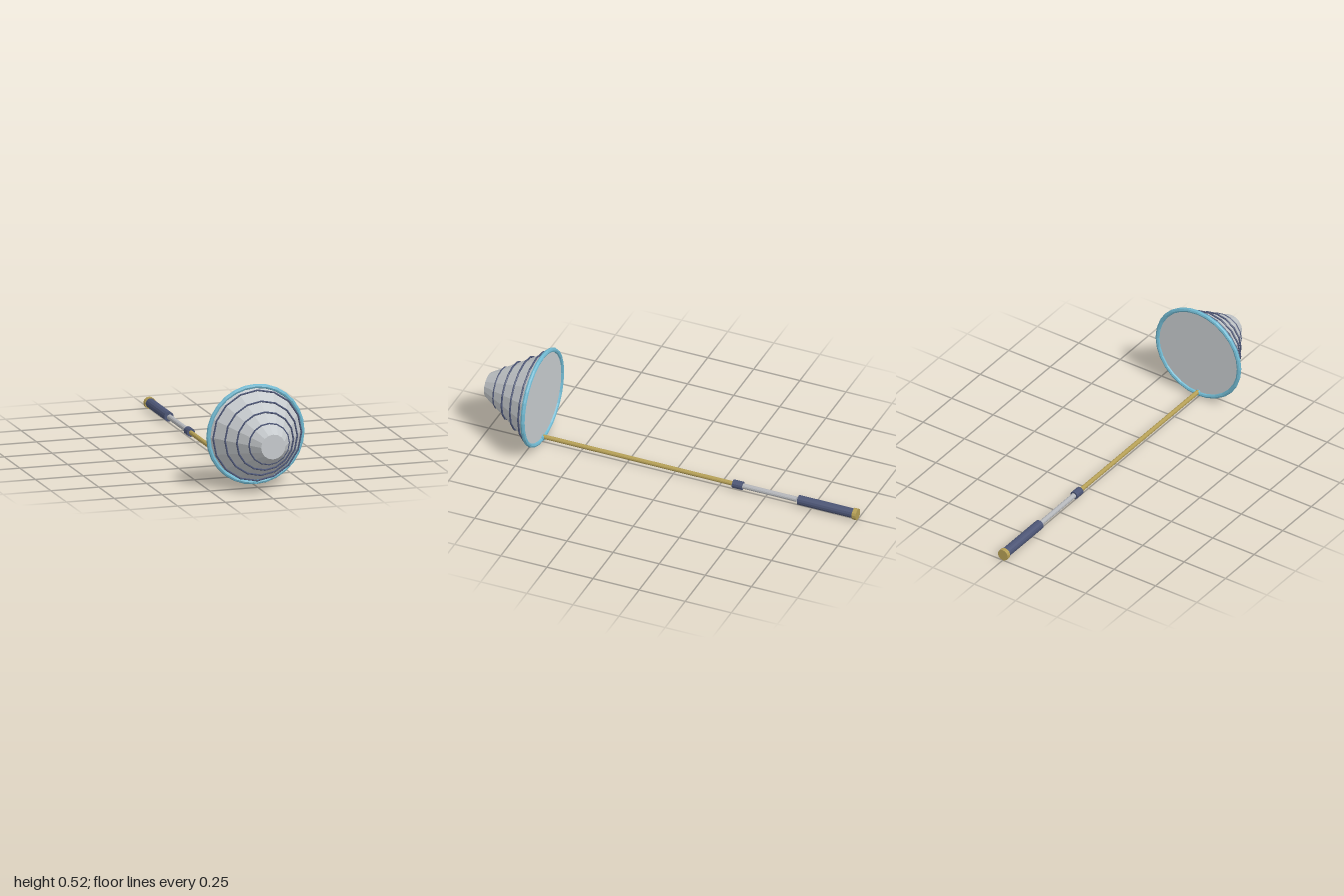
import * as THREE from 'three';

const material = (name, color) => {
  const m = new THREE.MeshStandardMaterial({ color, flatShading: true });
  m.name = name;
  return m;
};

export function createModel() {
  const silver = material('silver', 0xc6cacd);
  const steel = material('steel', 0xb4b6ba);
  const gold = material('gold', 0xb59f55);
  const blue = material('light blue', 0x70b8d0);
  const navy = material('navy', 0x4c5575);

  const group = new THREE.Group();
  const add = (name, geometry, mat, y, z) => {
    const mesh = new THREE.Mesh(geometry, mat);
    mesh.name = name;
    mesh.position.set(0, y, z);
    group.add(mesh);
  };

  // Cylinder lying along z, between zBack and zFront
  const rod = (name, mat, y, zBack, zFront, rBack, rFront = rBack, sides = 12) => {
    const g = new THREE.CylinderGeometry(rFront, rBack, zFront - zBack, sides);
    g.rotateX(Math.PI / 2);
    add(name, g, mat, y, (zBack + zFront) / 2);
  };

  const headY = 0.264, poleY = 0.031;

  // Net head: closed tapered bag, bands and hoop
  rod('netBag', silver, headY, 0.71, 1, 0.239, 0.0635, 16);
  [[0.742, 0.231], [0.805, 0.189], [0.868, 0.148], [0.932, 0.1045]].forEach(([z, r], i) =>
    add('netBand' + (i + 1), new THREE.TorusGeometry(r, 0.0045, 6, 16), navy, headY, z));
  add('hoop', new THREE.TorusGeometry(0.2455, 0.0115, 8, 28), blue, headY, 0.711);
  rod('hoopSocket', blue, 0.027, 0.697, 0.727, 0.0145);

  // Telescopic pole
  rod('lowerPole', gold, poleY, -0.335, 0.705, 0.0115);
  rod('collar', navy, poleY, -0.378, -0.325, 0.0215);
  rod('upperPole', steel, poleY, -0.67, -0.37, 0.0135);

  // Handle
  rod('grip', navy, poleY, -0.98, -0.68, 0.025, 0.025, 14);
  rod('endCap', gold, 0.03, -1, -0.978, 0.03, 0.03, 14);

  return group;
}
